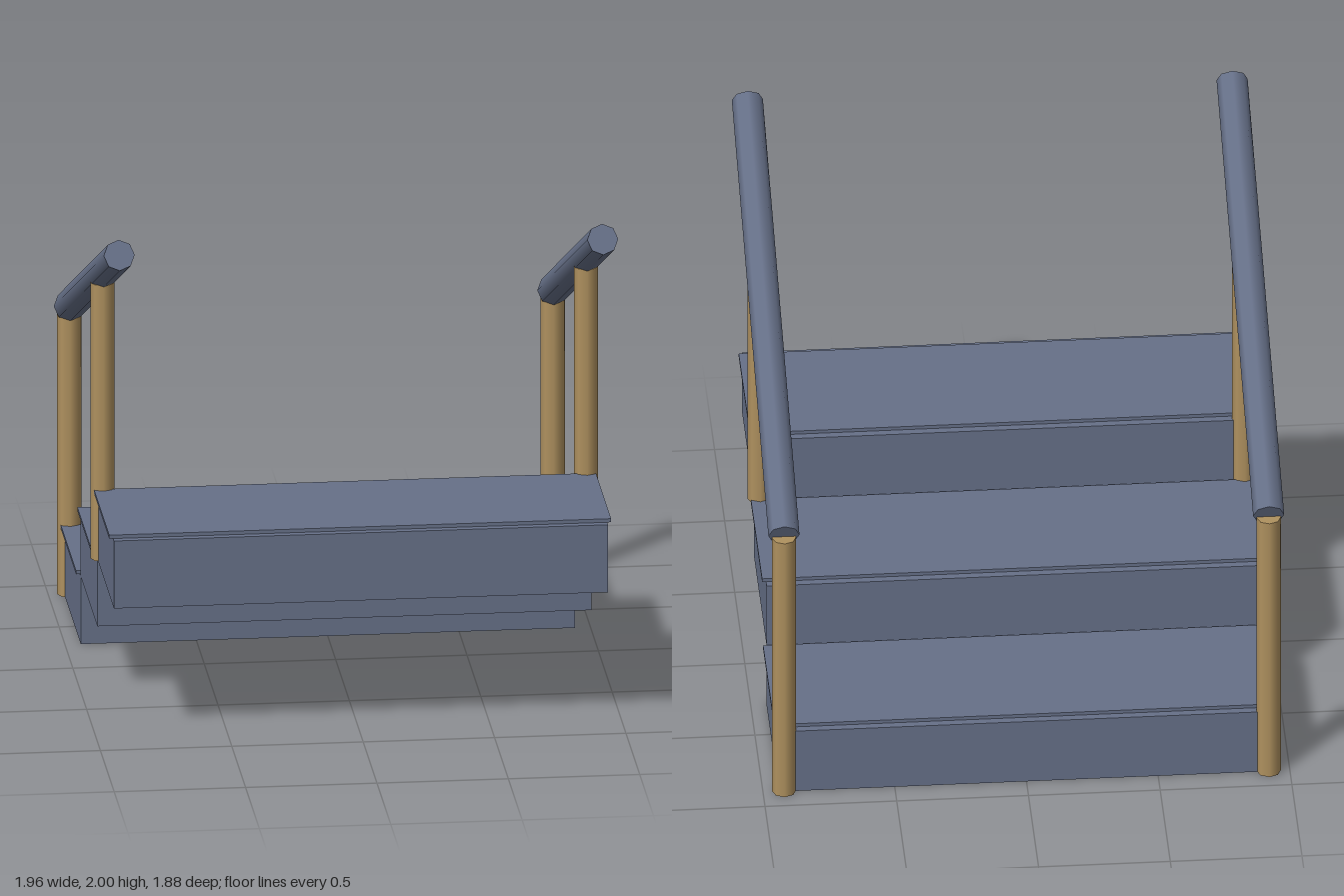
import * as THREE from 'three';

export function createModel() {
  const model = new THREE.Group();
  model.name = 'stairs';
  const slate = new THREE.MeshStandardMaterial({ color: 0x667088 });
  slate.name = 'slate';
  const wood = new THREE.MeshStandardMaterial({ color: 0xaf915f });
  wood.name = 'wood';

  const add = (name, geometry, material, x, y, z) => {
    const mesh = new THREE.Mesh(geometry, material);
    mesh.name = name;
    mesh.position.set(x, y, z);
    model.add(mesh);
    return mesh;
  };

  // Three steps rising toward the front, each with a thin tread on top
  const rise = 0.269;
  for (let i = 0; i < 3; i++) {
    const z = -0.593 + i * 0.603;
    add('step' + (i + 1), new THREE.BoxGeometry(1.88, rise, 0.615), slate, 0, (i + 0.5) * rise, z);
    add('tread' + (i + 1), new THREE.BoxGeometry(1.91, 0.014, 0.555), slate, 0, (i + 1) * rise + 0.007, z);
  }

  // Posts and sloping handrail on both sides
  const low = new THREE.Vector3(0, 1.148, -0.893);
  const high = new THREE.Vector3(0, 1.945, 0.92);
  const slope = high.clone().sub(low);
  const middle = low.clone().add(high).multiplyScalar(0.5);
  for (const side of [1, -1]) {
    const label = side > 0 ? 'left' : 'right';
    const x = side * 0.92;
    add(label + 'BackPost', new THREE.CylinderGeometry(0.046, 0.046, 1.14, 8), wood, x, 0.57, -0.895);
    add(label + 'FrontPost', new THREE.CylinderGeometry(0.046, 0.046, 1.1, 8), wood, x, 1.09, 0.315);
    const rail = add(label + 'Handrail', new THREE.CylinderGeometry(0.059, 0.059, slope.length(), 8), slate, x, middle.y, middle.z);
    rail.rotation.x = Math.atan2(slope.z, slope.y);
  }
  return model;
}
